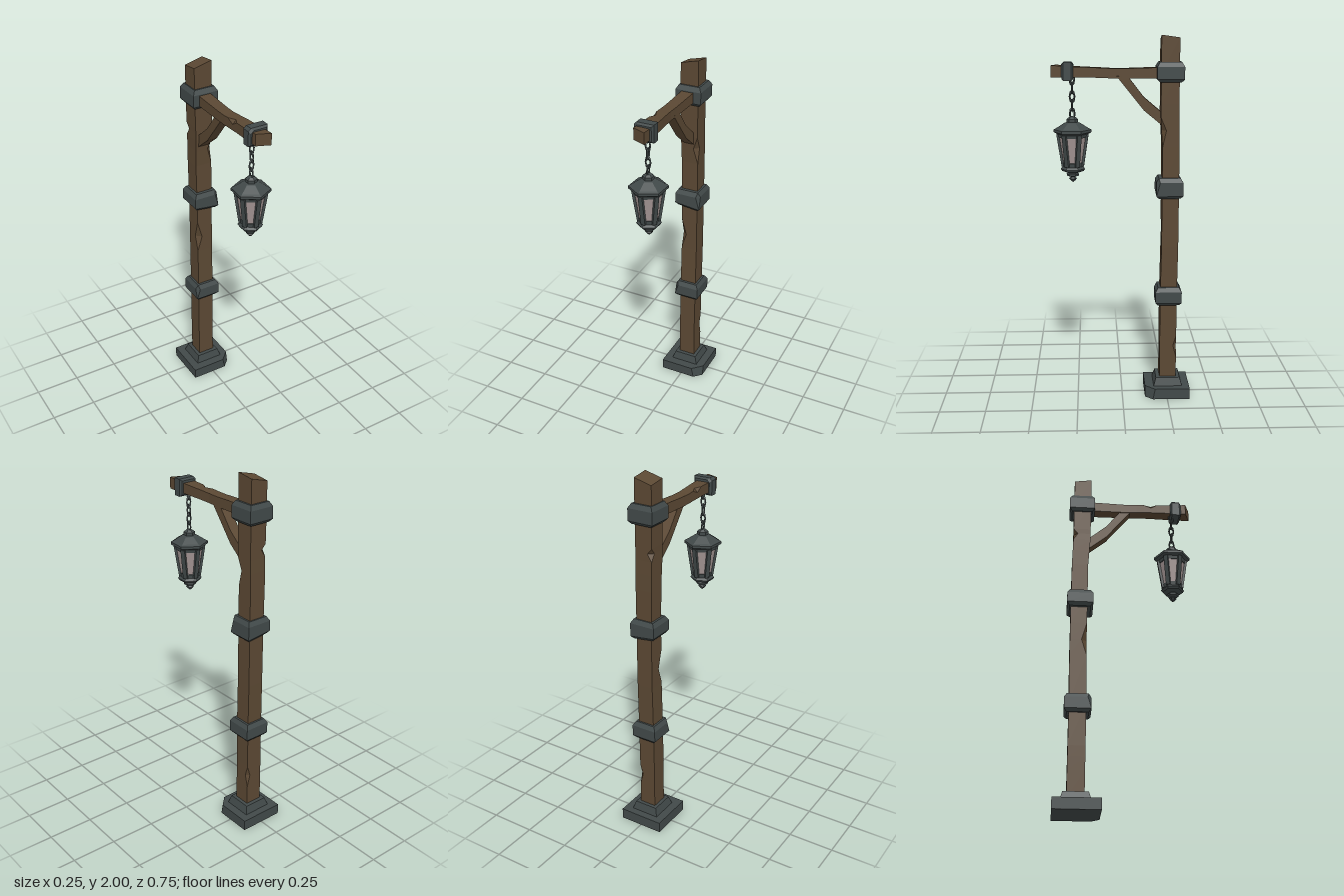
import * as THREE from 'three';

const mat = (name, color) => {
  const m = new THREE.MeshStandardMaterial({ color });
  m.name = name;
  return m;
};

// Split faces so every facet is shaded flat
const flat = (geo) => {
  const g = geo.index ? geo.toNonIndexed() : geo;
  g.computeVertexNormals();
  return g;
};

// Rectangular beam lofted along y. Ring: { t, x:[min,max], z:[min,max],
// cut:[corner, depth] (a chipped corner), tilt:[slopeX, slopeZ] }.
// Corners run: 0 (-x,+z), 1 (+x,+z), 2 (+x,-z), 3 (-x,-z).
function beam(rings) {
  const sections = rings.map(({ t, x: [x0, x1], z: [z0, z1], cut = [0, 0], tilt = [0, 0] }) => {
    const c = [0, 1, 2, 3].map((i) => (i === cut[0] ? cut[1] : 0));
    const zc = (z0 + z1) / 2;
    return [
      [x0, z1 - c[0]], [x0 + c[0], z1], [x1 - c[1], z1], [x1, z1 - c[1]],
      [x1, z0 + c[2]], [x1 - c[2], z0], [x0 + c[3], z0], [x0, z0 + c[3]],
    ].map(([x, z]) => new THREE.Vector3(x, t + tilt[0] * x + tilt[1] * (z - zc), z));
  });
  const pos = [];
  const tri = (a, b, c) => {
    if (new THREE.Triangle(a, b, c).getArea() > 1e-9) {
      for (const p of [a, b, c]) pos.push(p.x, p.y, p.z);
    }
  };
  for (let i = 0; i < sections.length - 1; i++) {
    const lo = sections[i], hi = sections[i + 1];
    for (let j = 0; j < 8; j++) {
      const k = (j + 1) % 8;
      tri(lo[j], lo[k], hi[k]);
      tri(lo[j], hi[k], hi[j]);
    }
  }
  const first = sections[0], last = sections[sections.length - 1];
  for (let j = 1; j < 7; j++) {
    tri(first[0], first[j + 1], first[j]);
    tri(last[0], last[j], last[j + 1]);
  }
  const g = new THREE.BufferGeometry();
  g.setAttribute('position', new THREE.Float32BufferAttribute(pos, 3));
  return flat(g);
}

// Six-sided turned part from a [radius, y] profile
const hexLathe = (profile) =>
  flat(new THREE.LatheGeometry(profile.map(([r, y]) => new THREE.Vector2(r, y)), 6));

export function createModel() {
  const wood = mat('weatheredWood', 0x5b4833);
  const iron = mat('darkIron', 0x414949);
  const glass = mat('paleGlass', 0xa39593);

  const model = new THREE.Group();
  model.name = 'lampPost';
  const add = (name, geo, material, parent = model) => {
    const mesh = new THREE.Mesh(geo, material);
    mesh.name = name;
    parent.add(mesh);
    return mesh;
  };

  // Stepped iron base with one chipped corner
  const px = [-0.125, 0.125], pz = [-0.375, -0.127];
  add('basePlate', beam([
    { t: 0, x: px, z: pz, cut: [1, 0.042] },
    { t: 0.06, x: px, z: pz, cut: [1, 0.055] },
  ]), iron);
  add('baseCollar', beam([
    { t: 0.06, x: [-0.08, 0.08], z: [-0.335, -0.176] },
    { t: 0.105, x: [-0.066, 0.066], z: [-0.322, -0.189] },
  ]), iron);

  // Post with chipped edges and a slanted top
  const lowX = [-0.047, 0.047], midX = [-0.042, 0.05], topX = [-0.05, 0.05];
  const lowZ = [-0.302, -0.21], midZ = [-0.306, -0.215], topZ = [-0.302, -0.205];
  add('post', beam([
    { t: 0.08, x: lowX, z: lowZ },
    { t: 0.22, x: lowX, z: lowZ, cut: [2, 0] },
    { t: 0.29, x: lowX, z: lowZ, cut: [2, 0.018] },
    { t: 0.35, x: lowX, z: lowZ, cut: [2, 0] },
    { t: 0.58, x: [-0.045, 0.049], z: lowZ },
    { t: 0.86, x: midX, z: midZ, cut: [0, 0] },
    { t: 0.95, x: midX, z: midZ, cut: [0, 0.028] },
    { t: 1.05, x: midX, z: midZ, cut: [0, 0] },
    { t: 1.2, x: midX, z: midZ },
    { t: 1.41, x: [-0.045, 0.05], z: midZ, cut: [1, 0] },
    { t: 1.5, x: [-0.046, 0.05], z: [-0.304, -0.21], cut: [1, 0.025] },
    { t: 1.57, x: [-0.047, 0.05], z: topZ, cut: [3, 0] },
    { t: 1.61, x: [-0.047, 0.05], z: topZ, cut: [3, 0.025] },
    { t: 1.64, x: [-0.048, 0.05], z: topZ, cut: [3, 0] },
    { t: 1.8, x: topX, z: topZ },
    { t: 1.98, x: topX, z: topZ, tilt: [0.25, 0.14] },
  ]), wood);

  // Bevelled iron bands round the post
  const bands = [[0.53, 0.632, 0, 0], [1.14, 1.245, 1, -0.12], [1.755, 1.86, 3, 0]];
  bands.forEach(([y0, y1, corner, slope], i) => {
    const ring = (t, w, cut = 0, tilt = 0) => ({
      t, x: [0.003 - w, 0.003 + w], z: [-0.255 - w, -0.255 + w], cut: [corner, cut], tilt: [tilt, 0],
    });
    add(`postBand${i + 1}`, beam([
      ring(y0, 0.058, 0, slope), ring(y0 + 0.016, 0.072, 0, slope),
      ring(y1 - 0.024, 0.072, i < 2 ? 0.02 : 0), ring(y1, 0.058),
    ]), iron);
  });

  // Arm, lofted along y then laid forward (local z is world -y)
  const arm = add('arm', beam([
    { t: -0.25, x: [-0.035, 0.033], z: [-0.022, 0.036] },
    { t: 0.0, x: [-0.036, 0.026], z: [-0.014, 0.038] },
    { t: 0.06, x: [-0.037, 0.025], z: [-0.015, 0.036], cut: [3, 0] },
    { t: 0.1, x: [-0.036, 0.028], z: [-0.018, 0.034], cut: [3, 0] },
    { t: 0.145, x: [-0.036, 0.031], z: [-0.02, 0.032], cut: [3, 0.02] },
    { t: 0.18, x: [-0.035, 0.034], z: [-0.022, 0.031], cut: [3, 0] },
    { t: 0.28, x: [-0.035, 0.039], z: [-0.026, 0.03] },
    { t: 0.36, x: [-0.033, 0.039], z: [-0.033, 0.03], tilt: [0.4, 0] },
  ]), wood);
  const clampRing = (t, d) => ({ t, x: [-0.05 + d, 0.058 - d], z: [-0.048 + d, 0.047 - d], cut: [3, 0.014] });
  const clamp = add('armClamp', beam([
    clampRing(0.257, 0.01), clampRing(0.267, 0), clampRing(0.309, 0), clampRing(0.319, 0.01),
  ]), iron);
  for (const m of [arm, clamp]) {
    m.rotation.x = Math.PI / 2;
    m.position.y = 1.81;
  }

  // Bent brace between post and arm, drawn in the z-y plane
  const braceShape = new THREE.Shape([
    [0.03, 1.785], [-0.03, 1.785], [-0.115, 1.675], [-0.215, 1.59], [-0.24, 1.57],
    [-0.24, 1.5], [-0.2, 1.535], [-0.115, 1.605],
  ].map(([z, y]) => new THREE.Vector2(z, y)));
  const brace = add('brace', flat(new THREE.ExtrudeGeometry(braceShape, { depth: 0.056, bevelEnabled: false })), wood);
  brace.rotation.y = -Math.PI / 2;
  brace.position.x = 0.026;

  // Hanging lantern and chain
  const lantern = new THREE.Group();
  lantern.name = 'lantern';
  lantern.position.set(0, 0, 0.265);
  lantern.rotation.y = -0.05;
  model.add(lantern);

  const linkGeo = flat(new THREE.TorusGeometry(0.013, 0.005, 4, 8).scale(1, 2.1, 1));
  for (let i = 0; i < 5; i++) {
    const link = add('chainLink', linkGeo, iron, lantern);
    link.position.y = 1.585 + i * 0.046;
    link.rotation.y = i % 2 ? 0.1 : Math.PI / 2 + 0.1;
  }

  add('lanternRoof', hexLathe([
    [0, 1.46], [0.079, 1.46], [0.083, 1.478], [0.101, 1.488], [0.101, 1.502], [0.086, 1.51],
    [0.042, 1.538], [0.031, 1.542], [0.031, 1.558], [0.018, 1.568], [0, 1.574],
  ]), iron, lantern);
  add('lanternBase', hexLathe([
    [0, 1.217], [0.012, 1.226], [0.022, 1.238], [0.013, 1.247], [0.032, 1.252], [0.034, 1.262],
    [0.028, 1.268], [0.058, 1.278], [0.066, 1.29], [0.055, 1.302], [0.059, 1.325], [0, 1.325],
  ]), iron, lantern);
  add('lanternGlass', hexLathe([[0.053, 1.32], [0.074, 1.465]]), glass, lantern);

  // Leaning corner bars
  const low = new THREE.Vector3(0, 1.305, 0.053), high = new THREE.Vector3(0, 1.478, 0.079);
  const barGeo = flat(new THREE.BoxGeometry(0.024, low.distanceTo(high), 0.014));
  barGeo.rotateX(Math.atan2(high.z - low.z, high.y - low.y));
  barGeo.translate(0, (low.y + high.y) / 2, (low.z + high.z) / 2);
  for (let i = 0; i < 6; i++) {
    add('lanternBar', barGeo, iron, lantern).rotation.y = (i * Math.PI) / 3;
  }

  return model;
}
